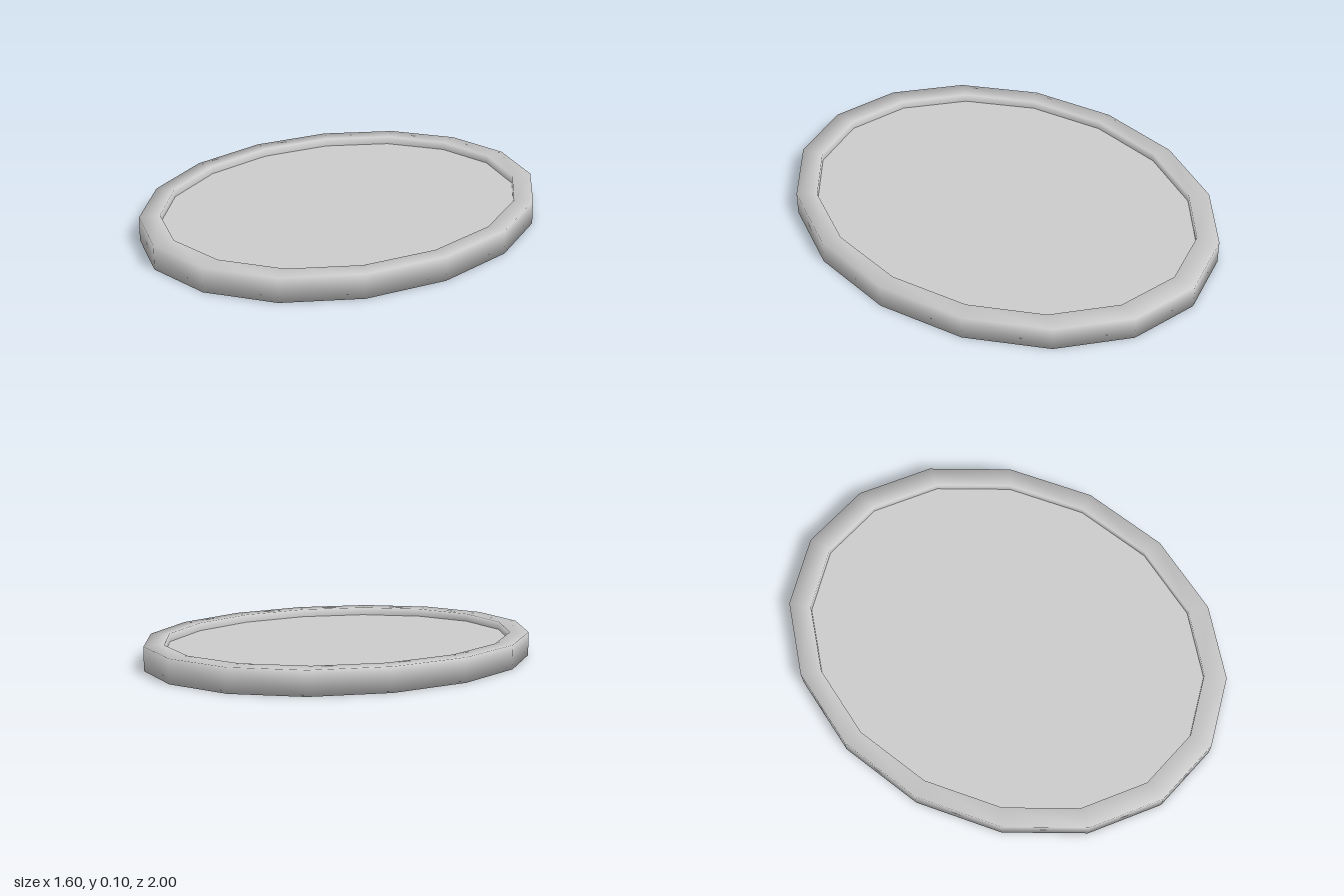
import * as THREE from 'three';

const SIDES = 16, HALF_WIDTH = 0.8, HALF_LENGTH = 1;
const HEIGHT = 0.103, FLOOR_Y = 0.067, INNER = 0.9;

export function createModel() {
  const group = new THREE.Group();
  group.name = 'ovalTray';
  const material = new THREE.MeshStandardMaterial({ color: 0xcccccc });

  const addPart = (name, geometry) => {
    geometry.scale(HALF_WIDTH, 1, HALF_LENGTH);
    const mesh = new THREE.Mesh(geometry, material);
    mesh.name = name;
    group.add(mesh);
  };

  // Underside, outer wall, rim and inner wall as one softly shaded oval shell
  const profile = [
    [0, 0], [1, 0], [1, HEIGHT], [INNER, HEIGHT], [INNER, FLOOR_Y],
  ].map(([r, y]) => new THREE.Vector2(r, y));
  addPart('trayShell', new THREE.LatheGeometry(profile, SIDES));

  // Flat sunken floor inside the rim
  const floor = new THREE.CircleGeometry(INNER, SIDES);
  floor.rotateX(-Math.PI / 2).translate(0, FLOOR_Y, 0);
  addPart('trayFloor', floor);

  return group;
}
